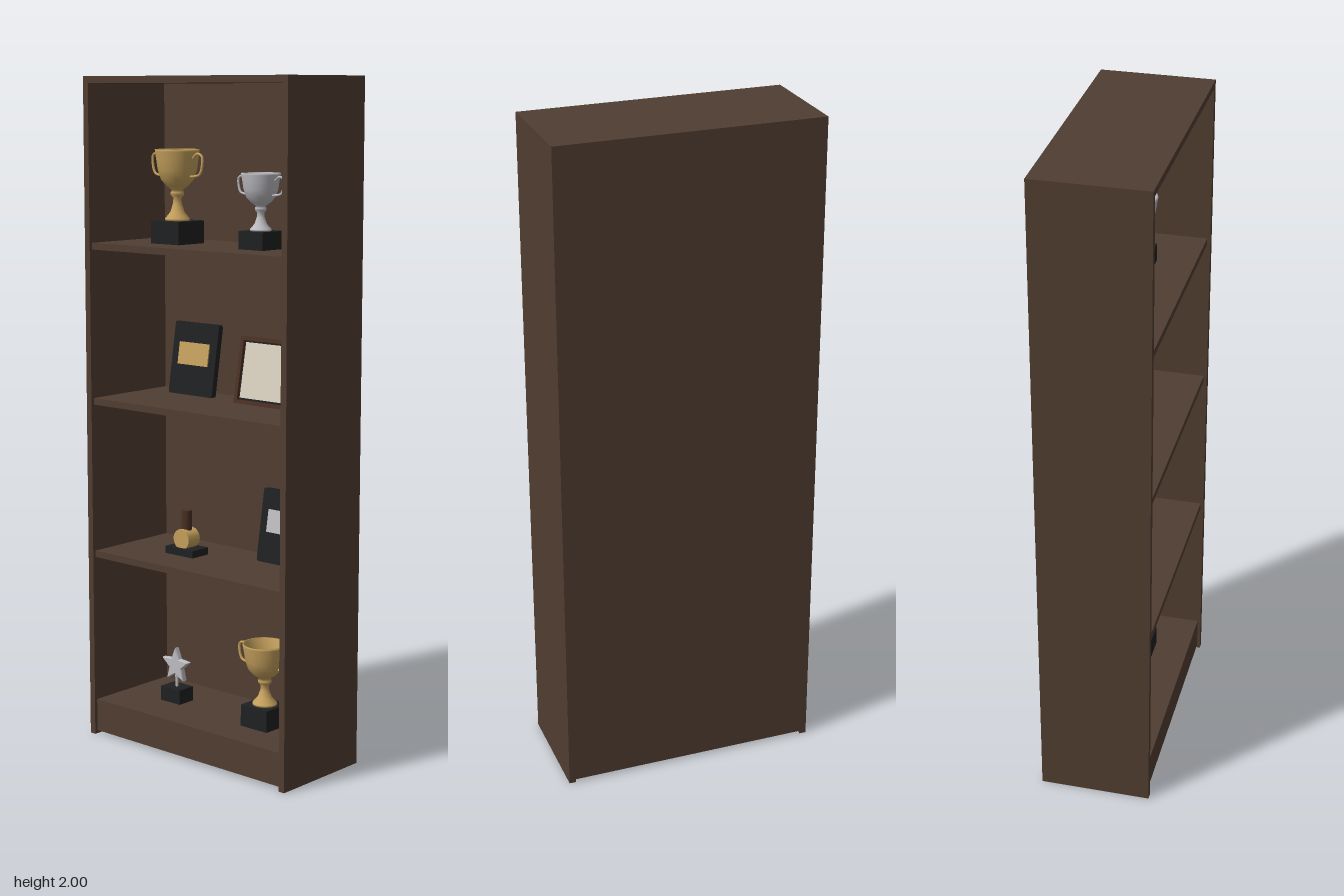
import * as THREE from 'three';

const mat = (name, color, side = THREE.FrontSide) => {
  const m = new THREE.MeshStandardMaterial({ color, side });
  m.name = name;
  return m;
};

export function createModel() {
  const wood = mat('dark wood', 0x503d31);
  const frameWood = mat('frame wood', 0x4a3022);
  const black = mat('black base', 0x1f2022);
  const gold = mat('gold', 0xc4a05c, THREE.DoubleSide);
  const silver = mat('silver', 0xbcbcc2, THREE.DoubleSide);
  const paper = mat('paper', 0xd8d0be);

  const model = new THREE.Group();
  model.name = 'trophyBookcase';

  const add = (parent, name, geometry, material, x = 0, y = 0, z = 0) => {
    const mesh = new THREE.Mesh(geometry, material);
    mesh.name = name;
    mesh.position.set(x, y, z);
    parent.add(mesh);
    return mesh;
  };
  // Box placed by the centre of its underside
  const box = (parent, name, material, w, h, d, x, y, z) =>
    add(parent, name, new THREE.BoxGeometry(w, h, d), material, x, y + h / 2, z);
  const group = (name, x, y, z) => {
    const g = new THREE.Group();
    g.name = name;
    g.position.set(x, y, z);
    model.add(g);
    return g;
  };

  // Cabinet
  const W = 0.78, D = 0.333, T = 0.02;
  const inner = W - 2 * T;
  const levels = [0.11, 0.58, 1.05, 1.515];
  for (const s of [-1, 1]) {
    box(model, s > 0 ? 'leftSide' : 'rightSide', wood, T, 2, D, s * (W - T) / 2, 0, 0);
  }
  box(model, 'topPanel', wood, inner, T, D, 0, 2 - T, 0);
  box(model, 'backPanel', wood, inner, 1.97, 0.01, 0, 0.01, -D / 2 + 0.005);
  box(model, 'kickBoard', wood, inner, 0.08, 0.02, 0, 0.01, 0.147);
  levels.forEach((y, i) =>
    box(model, `shelf${i + 1}`, wood, inner, T, 0.314, 0, y - T, 0));

  // Two-handled cup on a square base; h is the cup height, r the rim radius
  const profile = [
    [0, 0], [0.55, 0], [0.55, 0.03], [0.32, 0.12], [0.2, 0.24], [0.18, 0.32], [0.3, 0.36],
    [0.3, 0.4], [0.24, 0.43], [0.5, 0.49], [0.74, 0.58], [0.88, 0.72], [0.94, 0.86],
    [1, 0.97], [1, 1], [0.93, 1], [0.86, 0.84], [0.78, 0.7], [0.6, 0.58], [0, 0.52],
  ];
  const cup = (name, material, x, y, baseW, baseH, h, r) => {
    const g = group(name, x, y, 0);
    box(g, 'cupBase', black, baseW, baseH, baseW, 0, 0, 0);
    const points = profile.map(([a, b]) => new THREE.Vector2(a * r, b * h));
    add(g, 'cupBowl', new THREE.LatheGeometry(points, 28), material, 0, baseH, 0);
    for (const s of [-1, 1]) {
      const path = new THREE.CatmullRomCurve3(
        [[0.92, 0.87], [1.2, 0.94], [1.47, 0.91], [1.5, 0.8], [1.36, 0.66], [1.1, 0.63], [0.8, 0.62]]
          .map(([a, b]) => new THREE.Vector3(s * a * r, b * h, 0)));
      add(g, 'cupHandle', new THREE.TubeGeometry(path, 24, 0.06 * r, 8), material, 0, baseH, 0);
    }
  };
  cup('largeGoldCup', gold, -0.17, levels[3], 0.11, 0.067, 0.208, 0.066);
  cup('silverCup', silver, 0.153, levels[3], 0.09, 0.052, 0.163, 0.056);
  cup('lowGoldCup', gold, 0.175, levels[0], 0.1, 0.065, 0.185, 0.066);

  // Award plaques, leaning back
  const rounded = (w, h, r) => {
    const s = new THREE.Shape();
    s.absarc(w / 2 - r, h - r, r, 0, Math.PI / 2);
    s.absarc(-w / 2 + r, h - r, r, Math.PI / 2, Math.PI);
    s.absarc(-w / 2 + r, r, r, Math.PI, Math.PI * 1.5);
    s.absarc(w / 2 - r, r, r, Math.PI * 1.5, Math.PI * 2);
    return s;
  };
  const plaque = (name, material, x, y) => {
    const g = group(name, x, y, -0.075);
    g.rotation.x = -0.16;
    add(g, 'plaqueBoard', new THREE.ExtrudeGeometry(rounded(0.177, 0.221, 0.008),
      { depth: 0.018, bevelEnabled: false, curveSegments: 4 }), black, 0, 0, -0.018);
    box(g, 'plaquePlate', material, 0.121, 0.068, 0.004, 0, 0.091, 0.002);
  };
  plaque('goldPlaque', gold, -0.192, levels[2]);
  plaque('silverPlaque', silver, 0.165, levels[1]);

  // Framed certificate
  const certificate = group('framedCertificate', 0.133, levels[2], -0.055);
  certificate.rotation.x = -0.18;
  const rect = (C, w, h, y) => new C([[-w, y], [w, y], [w, y + h], [-w, y + h]]
    .map(([a, b]) => new THREE.Vector2(a / (1), b)));
  const border = rect(THREE.Shape, 0.132, 0.2, 0);
  border.holes.push(rect(THREE.Path, 0.12, 0.176, 0.012));
  add(certificate, 'certificateFrame', new THREE.ExtrudeGeometry(border,
    { depth: 0.018, bevelEnabled: false }), frameWood, 0, 0, -0.018);
  box(certificate, 'certificateBacking', black, 0.242, 0.178, 0.008, 0, 0.011, -0.013);
  box(certificate, 'certificatePaper', paper, 0.23, 0.165, 0.004, 0, 0.018, -0.008);

  // Upright gavel award
  const gavel = group('gavelAward', -0.137, levels[1], 0);
  box(gavel, 'gavelBase', black, 0.11, 0.022, 0.07, 0, 0, 0);
  const head = add(gavel, 'gavelHead', new THREE.CylinderGeometry(0.031, 0.031, 0.05, 20),
    gold, 0, 0.048, 0);
  head.rotation.x = Math.PI / 2;
  add(gavel, 'gavelHandle', new THREE.CylinderGeometry(0.016, 0.016, 0.07, 14),
    frameWood, 0, 0.1, 0);

  // Star award
  const star = group('starAward', -0.18, levels[0], 0);
  box(star, 'starBase', black, 0.078, 0.045, 0.06, 0, 0, 0);
  add(star, 'starPost', new THREE.CylinderGeometry(0.005, 0.005, 0.04, 8), silver, 0, 0.062, 0);
  const outline = new THREE.Shape(Array.from({ length: 10 }, (_, i) => {
    const r = i % 2 ? 0.023 : 0.052;
    const a = Math.PI / 2 + i * Math.PI / 5;
    return new THREE.Vector2(r * Math.cos(a), r * Math.sin(a));
  }));
  add(star, 'star', new THREE.ExtrudeGeometry(outline,
    { depth: 0.012, bevelThickness: 0.004, bevelSize: 0.003, bevelSegments: 1 }),
  silver, 0, 0.112, -0.006);

  return model;
}
